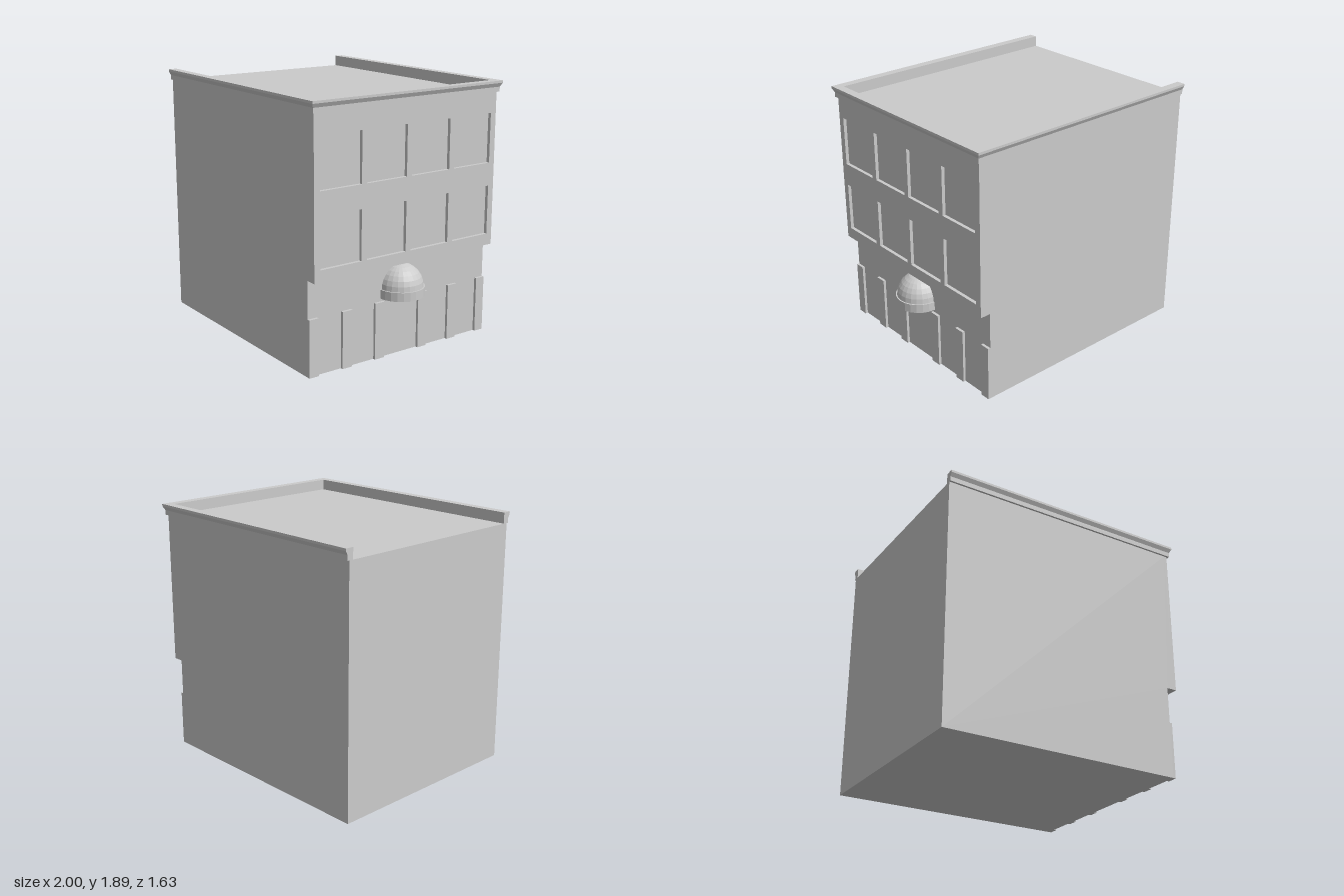
import * as THREE from 'three';

const HALF_Z = 0.787;   // half width of the street front
const WALL_X = 0.825;   // recessed ground floor wall
const FACADE_X = 0.905; // upper storeys
const RECESS = 0.025;   // window depth
const ROOF_Y = 1.81;

const grey = new THREE.MeshStandardMaterial({ color: 0xcccccc, flatShading: true });
const greyDouble = new THREE.MeshStandardMaterial({ color: 0xcccccc, flatShading: true, side: THREE.DoubleSide });

function add(parent, name, geometry, material = grey) {
  const mesh = new THREE.Mesh(geometry, material);
  mesh.name = name;
  parent.add(mesh);
  return mesh;
}

function rectangle(PathType, x0, y0, x1, y1) {
  return new PathType([[x0, y0], [x1, y0], [x1, y1], [x0, y1]].map(([x, y]) => new THREE.Vector2(x, y)));
}

// Sweeps the cornice section around three sides with mitred corners and capped ends
function corniceGeometry() {
  const section = [[-0.033, ROOF_Y], [0.015, ROOF_Y], [0.015, 1.845], [0.03, 1.873], [0.03, 1.89], [-0.033, 1.89]];
  const rings = [[0, 1], [1, 1], [1, -1], [0, -1]].map(([front, side]) =>
    section.map(([d, y]) => [front ? FACADE_X + d : -1, y, side * (HALF_Z + d)]));
  const positions = [];
  const tri = (a, b, c) => positions.push(...a, ...b, ...c);
  const n = section.length;
  for (let i = 0; i < 3; i++) {
    const [a, b] = [rings[i], rings[i + 1]];
    for (let j = 0; j < n; j++) {
      const k = (j + 1) % n;
      tri(a[j], b[j], b[k]);
      tri(a[j], b[k], a[k]);
    }
  }
  for (let j = 1; j < n - 1; j++) {
    tri(rings[0][0], rings[0][j], rings[0][j + 1]);
    tri(rings[3][0], rings[3][j + 1], rings[3][j]);
  }
  const geometry = new THREE.BufferGeometry();
  geometry.setAttribute('position', new THREE.Float32BufferAttribute(positions, 3));
  geometry.computeVertexNormals();
  return geometry;
}

export function createModel() {
  const model = new THREE.Group();
  model.name = 'building';

  // Main block with the upper storeys overhanging the ground floor
  const coreX = FACADE_X - RECESS;
  const profile = new THREE.Shape([[-1, 0], [WALL_X, 0], [WALL_X, 0.685], [coreX, 0.685], [coreX, ROOF_Y], [-1, ROOF_Y]]
    .map(([x, y]) => new THREE.Vector2(x, y)));
  const block = new THREE.ExtrudeGeometry(profile, { depth: 2 * HALF_Z, bevelEnabled: false });
  add(model, 'mainBlock', block.translate(0, 0, -HALF_Z));

  // Facade layer pierced by two rows of four windows
  const front = rectangle(THREE.Shape, -HALF_Z, 0.685, HALF_Z, ROOF_Y);
  for (const y of [0.77, 1.3]) {
    for (let i = 0; i < 4; i++) {
      const z = (i - 1.5) * 0.381;
      front.holes.push(rectangle(THREE.Path, z - 0.168, y, z + 0.168, y + 0.361));
    }
  }
  const facade = new THREE.ExtrudeGeometry(front, { depth: RECESS, bevelEnabled: false });
  add(model, 'windowFacade', facade.rotateY(Math.PI / 2).translate(coreX, 0, 0));

  // Cornice and parapet, open at the rear
  add(model, 'cornice', corniceGeometry());

  // Ground floor pilasters, mirrored about the entrance
  for (const side of [-1, 1]) {
    for (const [z0, z1] of [[0.153, 0.233], [0.433, 0.513], [0.712, HALF_Z]]) {
      const pilaster = add(model, 'pilaster', new THREE.BoxGeometry(0.04, 0.415, z1 - z0));
      pilaster.position.set(WALL_X, 0.2075, side * (z0 + z1) / 2);
    }
  }

  // Half-dome entrance awning with a hanging band
  const awning = [new THREE.Vector2(0.175, 0.435), new THREE.Vector2(0.175, 0.5)];
  for (let i = 0; i <= 7; i++) {
    const a = (i / 7) * Math.PI / 2;
    awning.push(new THREE.Vector2(i === 7 ? 0 : 0.165 * Math.cos(a), 0.5 + 0.165 * Math.sin(a)));
  }
  add(model, 'entranceAwning', new THREE.LatheGeometry(awning, 12, 0, Math.PI), greyDouble).position.x = WALL_X;

  return model;
}
